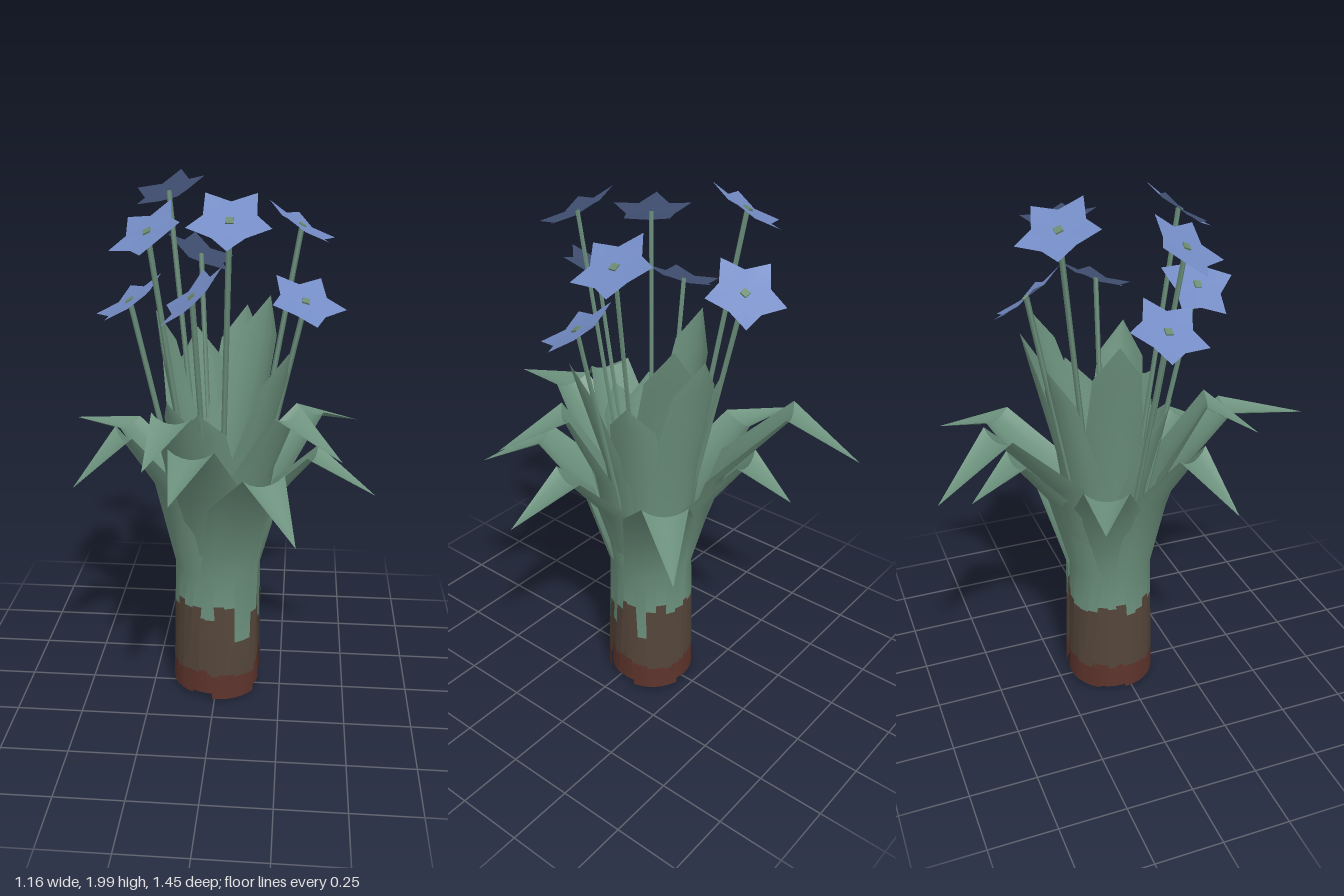
import * as THREE from 'three';
import { toCreasedNormals } from 'three/addons/utils/BufferGeometryUtils.js';

const mat = (name, color) => {
  const m = new THREE.MeshStandardMaterial({ color, side: THREE.DoubleSide });
  m.name = name;
  return m;
};

export function createModel() {
  const root = new THREE.Group();
  root.name = 'floweringPlant';
  const green = mat('leafGreen', 0x6c917d);
  const brown = mat('sheathBrown', 0x54453a);
  const red = mat('rootRed', 0x5c332b);
  const blue = mat('petalBlue', 0x738bc4);
  const pistil = mat('flowerCentre', 0x6a8a70);
  const CZ = -0.04; // the bundle sits slightly behind the origin

  let seed = 7;
  const rnd = () => (seed = (seed * 16807) % 2147483647) / 2147483647;

  // A leaf is a ribbon channelled towards its upper side;
  // each row is [radius, height, half width, curl radius]
  function leaf(name, tipX, tipZ, rows) {
    const len = Math.hypot(tipX, tipZ - CZ);
    const dx = tipX / len, dz = (tipZ - CZ) / len;
    // the curl of each row is square to the direction of growth
    const lean = rows.map((_, i) => {
      const a = rows[Math.max(i - 1, 0)], b = rows[Math.min(i + 1, rows.length - 1)];
      return i < 2 ? 0 : Math.atan2(b[0] - a[0], b[1] - a[1]);
    });
    const at = (t, u) => {
      const i = Math.min(Math.floor(t), rows.length - 2), f = t - i;
      const [r, y, w, c] = rows[i].map((v, k) => v + (rows[i + 1][k] - v) * f);
      const tilt = lean[i] + (lean[i + 1] - lean[i]) * f;
      const a = (u * w) / c;
      const sag = c * (1 - Math.cos(a)), side = c * Math.sin(a);
      const out = r - sag * Math.cos(tilt);
      return [dx * out + dz * side, y + sag * Math.sin(tilt), CZ + dz * out - dx * side];
    };
    const bands = [[], [], []];
    const quad = (k, t0, t1, u0, u1) => {
      const a = at(t0, u0), b = at(t0, u1), c = at(t1, u1), d = at(t1, u0);
      bands[k].push(...a, ...b, ...c);
      if (t1 < rows.length - 1) bands[k].push(...a, ...c, ...d);
    };
    const N = 6, top = rows[1][1];
    for (let j = 0; j < N; j++) {
      const u0 = -1 + (2 * j) / N, u1 = u0 + 2 / N;
      // ragged edges between root, sheath and blade
      const tr = (0.09 + 0.02 * rnd()) / top;
      const tb = (rnd() < 0.12 ? 0.25 : 0.34 + 0.08 * rnd()) / top;
      quad(0, 0, tr, u0, u1);
      quad(1, tr, tb, u0, u1);
      quad(2, tb, 1, u0, u1);
      for (let i = 1; i < rows.length - 1; i++) quad(2, i, i + 1, u0, u1);
    }
    const g = new THREE.Group();
    g.name = name;
    bands.forEach((p, k) => {
      const geo = new THREE.BufferGeometry();
      geo.setAttribute('position', new THREE.Float32BufferAttribute(p, 3));
      const m = new THREE.Mesh(toCreasedNormals(geo, 0.6), [red, brown, green][k]);
      m.name = ['leafRoot', 'leafSheath', 'leafBlade'][k];
      g.add(m);
    });
    root.add(g);
  }

  // Outer arching leaves: tip x, tip y, tip z, peak radius, peak height
  [
    [-0.29, 1.08, -0.73, 0.5, 1.22],
    [-0.10, 0.95, -0.58, 0.38, 1.05],
    [0.54, 0.95, -0.56, 0.48, 1.03],
    [0.58, 0.89, 0.12, 0.37, 1.0],
    [0.45, 1.08, 0.30, 0.33, 1.18],
    [0.30, 0.88, 0.56, 0.42, 1.0],
    [-0.09, 1.08, 0.72, 0.46, 1.12],
    [-0.21, 1.09, 0.47, 0.36, 1.2],
    [-0.49, 0.94, 0.26, 0.38, 1.09],
    [-0.58, 1.03, -0.26, 0.39, 1.02],
  ].forEach(([x, y, z, pr, py], i) => {
    const R = 0.14 + 0.012 * (i % 3);
    leaf('archingLeaf', x, z, [
      [R + 0.012, 0.01 + 0.02 * rnd(), 0.09, R],
      [R, 0.54, 0.13, R],
      [R + (pr - R) * 0.38, 0.54 + (py - 0.54) * 0.62, 0.14, 0.18],
      [pr, py, 0.085, 0.12],
      [Math.hypot(x, z - CZ), y, 0, 0.12],
    ]);
  });

  // Inner upright leaves, gathered tighter at the root: tip x, tip y, tip z
  [
    [0.18, 1.53, -0.27],
    [-0.23, 1.51, -0.08],
    [0.26, 1.41, 0.12],
    [-0.10, 1.40, -0.29],
    [-0.05, 1.2, 0.19],
    [-0.17, 1.22, 0.12],
    [0.24, 1.3, -0.12],
    [0.09, 1.48, -0.33],
  ].forEach(([x, y, z], i) => {
    const R = 0.08 + 0.016 * (i % 4), tip = Math.hypot(x, z - CZ);
    leaf('uprightLeaf', x, z, [
      [R - 0.015, 0.01 + 0.02 * rnd(), 0.08, R],
      [R, 0.54, 0.11, R],
      [R + (tip - R) * 0.35, 0.54 + (y - 0.54) * 0.5, 0.125, 0.15],
      [R + (tip - R) * 0.82, 0.54 + (y - 0.54) * 0.86, 0.09, 0.15],
      [tip, y, 0, 0.15],
    ]);
  });

  // Five-pointed blossom, a shallow cup facing +y
  const petalPos = [0, 0, 0], petalIndex = [];
  for (let i = 0; i < 10; i++) {
    const a = (i * Math.PI) / 5, r = i % 2 ? 0.092 : 0.145;
    petalPos.push(Math.sin(a) * r, i % 2 ? 0 : 0.014, Math.cos(a) * r);
    petalIndex.push(0, i + 1, ((i + 1) % 10) + 1);
  }
  const petals = new THREE.BufferGeometry();
  petals.setAttribute('position', new THREE.Float32BufferAttribute(petalPos, 3));
  petals.setIndex(petalIndex);
  petals.computeVertexNormals();
  const centre = new THREE.BoxGeometry(0.026, 0.006, 0.026);
  const up = new THREE.Vector3(0, 1, 0);

  // Flowers: position, then facing direction
  [
    [0.06, 1.87, 0.245, 0, 0.8, 0.58],
    [0.29, 1.81, -0.12, 0.5, 0.85, 0.03],
    [0.31, 1.57, 0.03, 0.28, 0.84, 0.42],
    [-0.22, 1.82, 0.15, -0.42, 0.78, 0.4],
    [-0.30, 1.57, 0.06, -0.5, 0.8, 0.12],
    [-0.06, 1.63, 0.27, -0.65, 0.72, 0.15],
    [-0.09, 1.67, -0.35, 0.35, 0.75, -0.5],
    [-0.20, 1.91, -0.27, -0.36, 0.84, -0.36],
  ].forEach(([x, y, z, nx, ny, nz], i) => {
    const n = new THREE.Vector3(nx, ny, nz).normalize();
    const head = new THREE.Group();
    head.name = 'blossom';
    head.position.set(x, y, z);
    head.quaternion.setFromUnitVectors(up, n);
    const star = new THREE.Mesh(petals, blue);
    star.name = 'petals';
    star.rotation.y = i * 0.8;
    const dot = new THREE.Mesh(centre, pistil);
    dot.name = 'flowerCentre';
    dot.position.y = 0.004;
    head.add(star, dot);

    const end = new THREE.Vector3(x, y, z);
    const start = new THREE.Vector3(x * 0.15, 0.35, CZ + (z - CZ) * 0.15);
    const mid = start.clone().lerp(end, 0.6);
    const path = new THREE.CatmullRomCurve3([start, mid, end]);
    const stem = new THREE.Mesh(new THREE.TubeGeometry(path, 4, 0.01, 4), green);
    stem.name = 'stem';
    root.add(head, stem);
  });

  return root;
}
